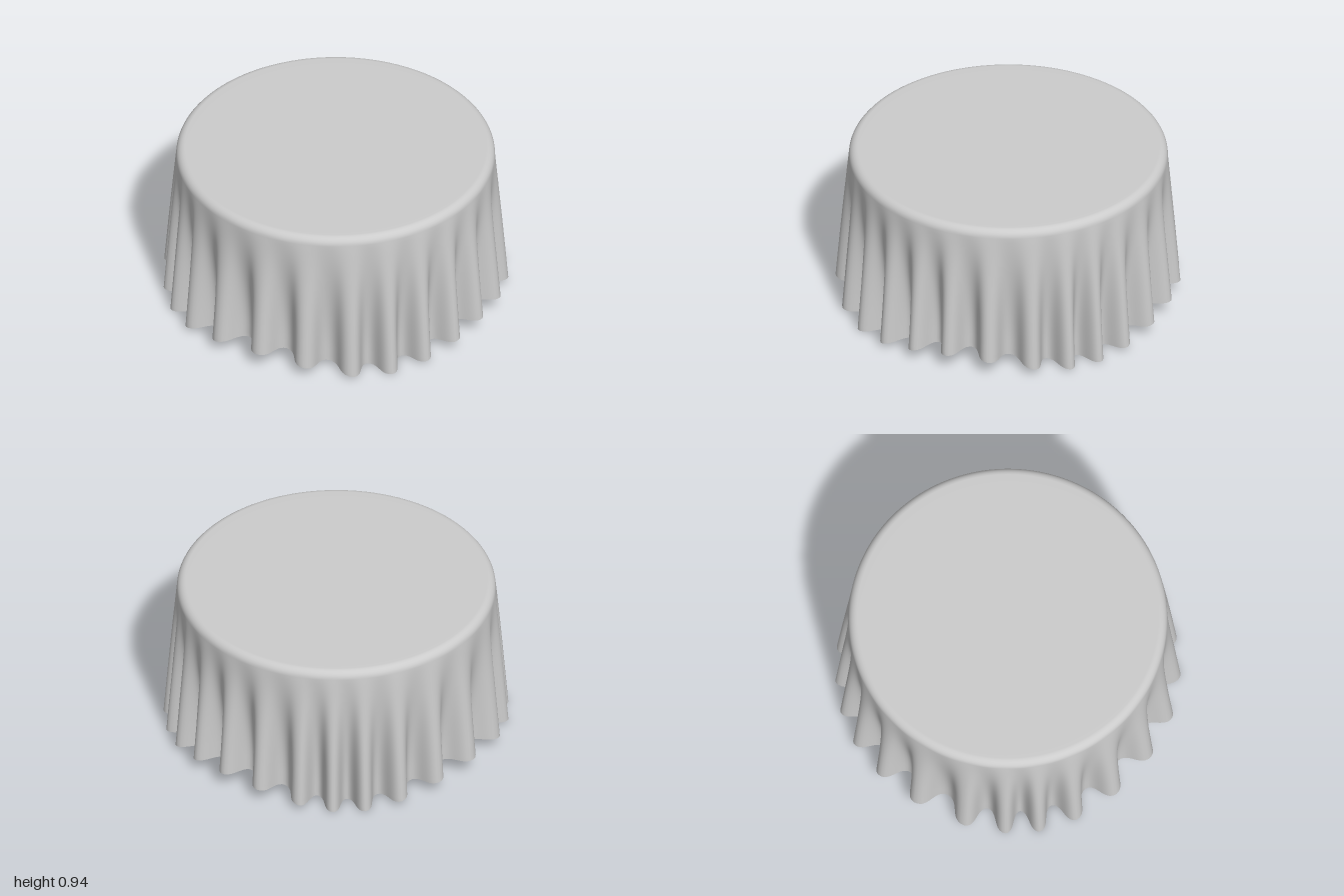
import * as THREE from 'three';

const TOP = 0.95, RADIUS = 0.92, ROUND = 0.05;
// Direction of each fold's crest, in degrees from +x towards +z
const CRESTS = [-87.5, -74, -60.8, -49.4, -38.4, -25.5, -10, 4.3, 17.1, 30, 43, 56.7, 73.1,
  89.4, 106.5, 122, 135, 146.4, 160.2, 178.5, 194.1, 208.6, 221.3, 232.3, 243.7, 258.4];
const PER_FOLD = 18, WALL_ROWS = 30;

// Hem of a square cloth: lowest at the four corners
const hemHeight = (a) => 0.062 + 0.05 * Math.cos(4 * a);

function clothGeometry() {
  // Flat top and rounded rim as [radius, height]
  const rim = [[0, TOP], [0.45, TOP], [0.8, TOP]];
  for (let i = 0; i <= 6; i++) {
    const a = (i / 6) * Math.PI / 2;
    rim.push([RADIUS - ROUND + ROUND * Math.sin(a), TOP - ROUND + ROUND * Math.cos(a)]);
  }
  const rows = rim.length + WALL_ROWS, cols = CRESTS.length * PER_FOLD;
  const positions = [], index = [];

  for (let i = 0; i < rows; i++) {
    const t = Math.max(0, (i - rim.length + 1) / WALL_ROWS); // 0 at rim, 1 at hem
    for (let j = 0; j < cols; j++) {
      const fold = Math.floor(j / PER_FOLD);
      const from = CRESTS[fold];
      const to = fold + 1 < CRESTS.length ? CRESTS[fold + 1] : CRESTS[0] + 360;
      const phase = ((j % PER_FOLD) / PER_FOLD) * Math.PI * 2;
      // Steepen the sides of the folds towards the hem
      const p = phase + 0.2 * t * Math.sin(2 * phase);
      const angle = THREE.MathUtils.degToRad(from + (to - from) * p / (Math.PI * 2));
      let [r, y] = rim[Math.min(i, rim.length - 1)];
      if (t > 0) {
        const crest = 0.5 + 0.5 * Math.cos(phase);
        const outward = 0.077 * Math.pow(t, 0.9);
        const inward = -0.06 * THREE.MathUtils.smoothstep(t, 0, 0.9);
        r += THREE.MathUtils.lerp(inward, outward, crest);
        y = THREE.MathUtils.lerp(TOP - ROUND, hemHeight(angle), t);
      }
      positions.push(0.003 + r * Math.cos(angle), y, -0.006 + r * Math.sin(angle));
      if (i + 1 < rows) {
        const next = (j + 1) % cols;
        const a = i * cols + j, c = i * cols + next;
        const b = a + cols, d = c + cols;
        if (i > 0) index.push(a, c, b);
        index.push(c, d, b);
      }
    }
  }
  const geometry = new THREE.BufferGeometry();
  geometry.setAttribute('position', new THREE.Float32BufferAttribute(positions, 3));
  geometry.setIndex(index);
  geometry.computeVertexNormals();
  return geometry;
}

export function createModel() {
  const group = new THREE.Group();
  group.name = 'roundTablecloth';
  const material = new THREE.MeshStandardMaterial({ color: 0xcccccc, side: THREE.DoubleSide });
  const cloth = new THREE.Mesh(clothGeometry(), material);
  cloth.name = 'drapedCloth';
  group.add(cloth);
  return group;
}
